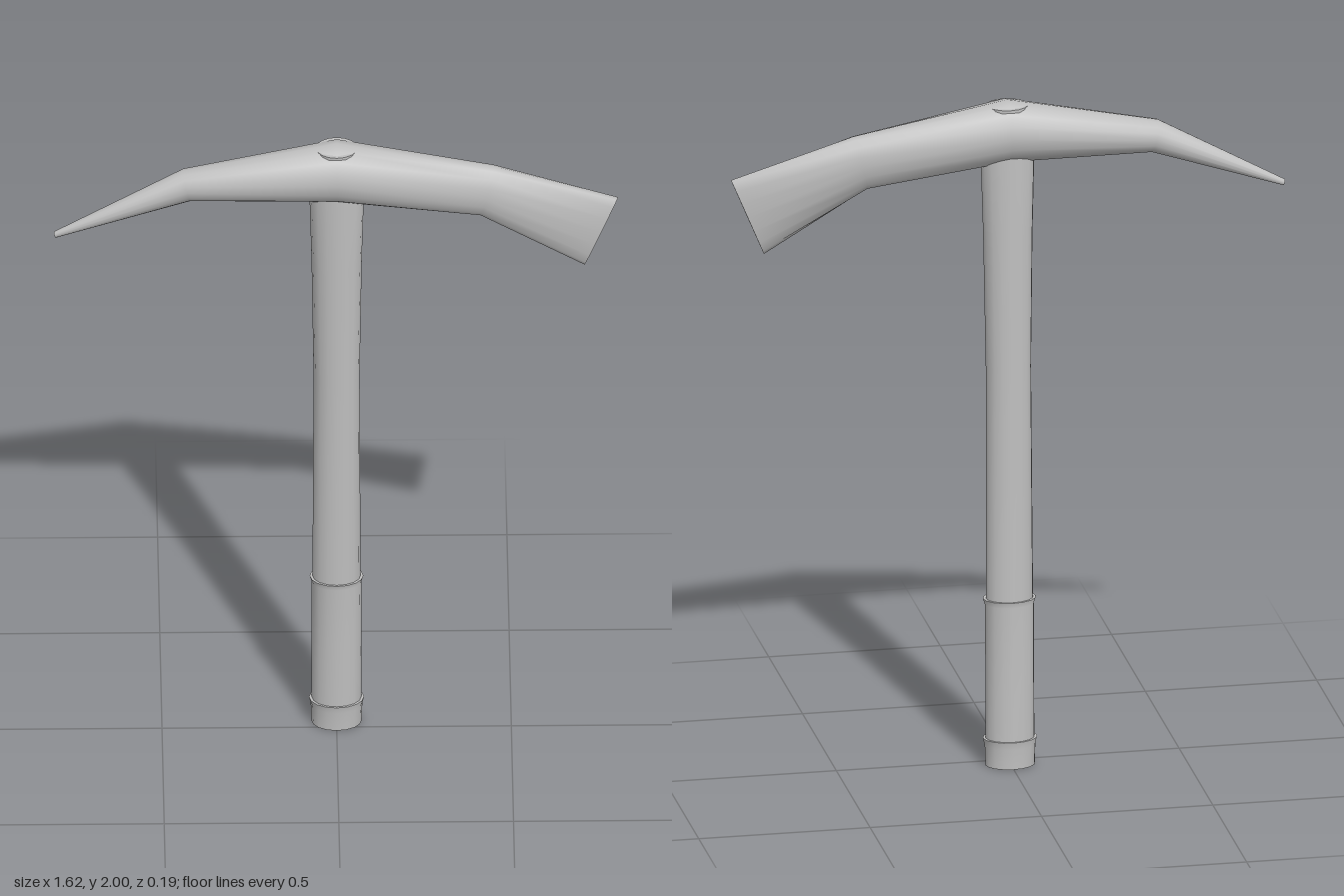
import * as THREE from 'three';

// Skins elliptical rings; each ring has centre c and half-axes u, w (u x w points along the path).
function loft(rings, sides) {
  const pos = [], idx = [];
  const point = (r, j) => {
    const a = (j / sides) * Math.PI * 2, ca = Math.cos(a), sa = Math.sin(a);
    return r.c.map((v, k) => v + r.u[k] * ca + r.w[k] * sa);
  };
  for (const r of rings) for (let j = 0; j < sides; j++) pos.push(...point(r, j));
  for (let i = 0; i < rings.length - 1; i++) {
    for (let j = 0; j < sides; j++) {
      const n = (j + 1) % sides;
      const a = i * sides + j, b = i * sides + n, d = a + sides, c = b + sides;
      idx.push(a, b, c, a, c, d);
    }
  }
  // flat caps with their own vertices so the rims stay sharp
  [rings[0], rings[rings.length - 1]].forEach((r, end) => {
    const base = pos.length / 3;
    pos.push(...r.c);
    for (let j = 0; j < sides; j++) pos.push(...point(r, j));
    for (let j = 0; j < sides; j++) {
      const a = base + 1 + j, b = base + 1 + ((j + 1) % sides);
      if (end) idx.push(base, a, b);
      else idx.push(base, b, a);
    }
  });
  const g = new THREE.BufferGeometry();
  g.setAttribute('position', new THREE.Float32BufferAttribute(pos, 3));
  g.setIndex(idx);
  g.computeVertexNormals();
  return g;
}

export function createModel() {
  const group = new THREE.Group();
  const grey = new THREE.MeshStandardMaterial({ color: 0xbfbfbf });
  grey.name = 'plain grey';
  const add = (name, geometry) => {
    const mesh = new THREE.Mesh(geometry, grey);
    mesh.name = name;
    group.add(mesh);
  };

  // Head: top x, top y, bottom x, bottom y, half thickness; from pick point to upright blade
  const headRings = [
    [-0.81, 1.704, -0.805, 1.686, 0.009],
    [-0.44, 1.91, -0.418, 1.815, 0.046],
    [0, 2.0, 0, 1.815, 0.087],
    [0.45, 1.918, 0.41, 1.758, 0.05],
    [0.806, 1.81, 0.71, 1.58, 0.006],
  ].map(([tx, ty, bx, by, h]) => ({
    c: [(tx + bx) / 2, (ty + by) / 2, 0.007],
    u: [(tx - bx) / 2, (ty - by) / 2, 0],
    w: [0, 0, h],
  }));
  add('head', loft(headRings, 16));

  // Leaning oval shaft sections: height, half width, half depth
  const leanZ = (y) => -0.036 + 0.0215 * y;
  const oval = ([y, rx, rz]) => ({ c: [0, y, leanZ(y)], u: [0, 0, rz], w: [rx, 0, 0] });

  add('handle', loft([
    [0.49, 0.069, 0.052], [1.2, 0.066, 0.053], [1.6, 0.072, 0.054],
    [1.82, 0.078, 0.055], [1.985, 0.06, 0.055],
  ].map(oval), 16));

  // Grip sleeve with a small lip at its upper end
  add('grip', loft([
    [0.07, 0.071, 0.054], [0.3, 0.071, 0.054], [0.485, 0.072, 0.054], [0.502, 0.077, 0.058],
  ].map(oval), 16));

  // Pommel with a lip where it meets the grip
  add('pommel', loft([
    [0, 0.072, 0.055], [0.06, 0.074, 0.056], [0.082, 0.079, 0.06],
  ].map(oval), 16));

  return group;
}
